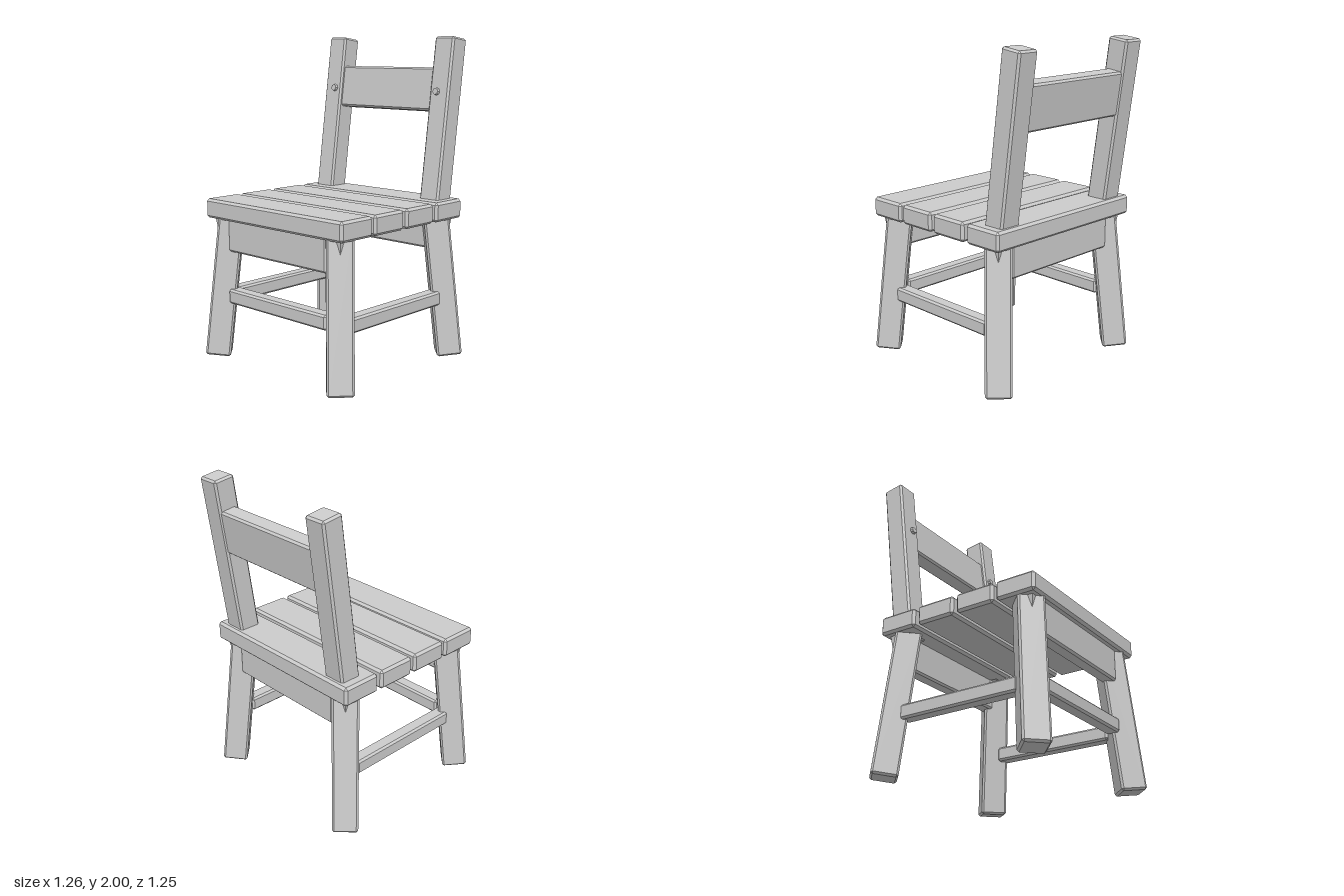
import * as THREE from 'three';
import { ConvexGeometry } from 'three/addons/geometries/ConvexGeometry.js';

const paint = new THREE.MeshStandardMaterial({ color: 0xcccccc });
paint.name = 'plain grey';

// Box with chamfered edges
function board(name, w, h, d, c = 0.012) {
  const pts = [];
  for (const sx of [-1, 1]) for (const sy of [-1, 1]) for (const sz of [-1, 1]) {
    const x = w / 2, y = h / 2, z = d / 2;
    pts.push(new THREE.Vector3(sx * x, sy * (y - c), sz * (z - c)));
    pts.push(new THREE.Vector3(sx * (x - c), sy * y, sz * (z - c)));
    pts.push(new THREE.Vector3(sx * (x - c), sy * (y - c), sz * z));
  }
  const mesh = new THREE.Mesh(new ConvexGeometry(pts), paint);
  mesh.name = name;
  return mesh;
}

export function createModel() {
  const chair = new THREE.Group();
  chair.name = 'chair';
  const add = (mesh, x, y, z) => {
    mesh.position.set(x, y, z);
    chair.add(mesh);
    return mesh;
  };

  // Four seat planks with narrow gaps
  [0.4425, 0.1675, -0.1125, -0.395].forEach((z) =>
    add(board('seatPlank', 1.16, 0.12, 0.257, 0.015), 0, 0.945, z));

  // Legs turned 45 degrees and splayed outward along the diagonals
  for (const sx of [-1, 1]) for (const sz of [-1, 1]) {
    const zMid = 0.025;
    const bottom = new THREE.Vector3(sx * 0.53, 0.011, zMid + sz * 0.503);
    const top = new THREE.Vector3(sx * 0.457, 0.94, zMid + sz * 0.430);
    const Y = top.clone().sub(bottom);
    const length = Y.length();
    Y.normalize();
    const X = new THREE.Vector3().crossVectors(Y, new THREE.Vector3(0, 1, 0)).normalize();
    const Z = new THREE.Vector3().crossVectors(X, Y);
    const leg = board(sz > 0 ? 'frontLeg' : 'backLeg', 0.157, length, 0.157);
    leg.quaternion.setFromRotationMatrix(new THREE.Matrix4().makeBasis(X, Y, Z));
    const mid = bottom.clone().add(top).multiplyScalar(0.5);
    add(leg, mid.x, mid.y, mid.z);

    // Small tapered wedge on the outer face, under the seat
    const wedge = new THREE.Mesh(new THREE.CylinderGeometry(0.028, 0.003, 0.13, 4).toNonIndexed(), paint);
    wedge.geometry.computeVertexNormals();
    wedge.name = 'legWedge';
    wedge.rotation.y = Math.PI / 4;
    add(wedge, sx * 0.515, 0.83, zMid + sz * 0.488);
  }

  // Aprons under the seat, front and back
  add(board('frontApron', 0.84, 0.23, 0.09), 0, 0.8, 0.485);
  add(board('backApron', 0.84, 0.23, 0.09), 0, 0.8, -0.435);

  // Stretchers: one in front, one on each side
  add(board('frontStretcher', 0.84, 0.09, 0.09), 0, 0.4, 0.49);
  for (const s of [-1, 1]) add(board('sideStretcher', 0.09, 0.09, 0.81), s * 0.492, 0.385, 0.025);

  // Back posts leaning backward, with a small round plug on each
  const lean = Math.atan(0.135);
  const axisZ = (y) => -0.4225 - 0.135 * (y - 1);
  for (const s of [-1, 1]) {
    const yMid = 1.43;
    const post = add(board('backPost', 0.144, 1.134, 0.138), s * 0.4475, yMid, axisZ(yMid));
    post.rotation.x = -lean;
    const plug = new THREE.Mesh(new THREE.CylinderGeometry(0.02, 0.025, 0.02, 8).toNonIndexed(), paint);
    plug.geometry.computeVertexNormals();
    plug.name = 'plug';
    plug.rotation.x = Math.PI / 2 - lean;
    add(plug, s * 0.43, 1.665, -0.436);
  }

  // Backrest slat between the posts
  const slat = add(board('backrestSlat', 0.79, 0.27, 0.108), 0, 1.67, -0.52);
  slat.rotation.x = -lean;

  return chair;
}
